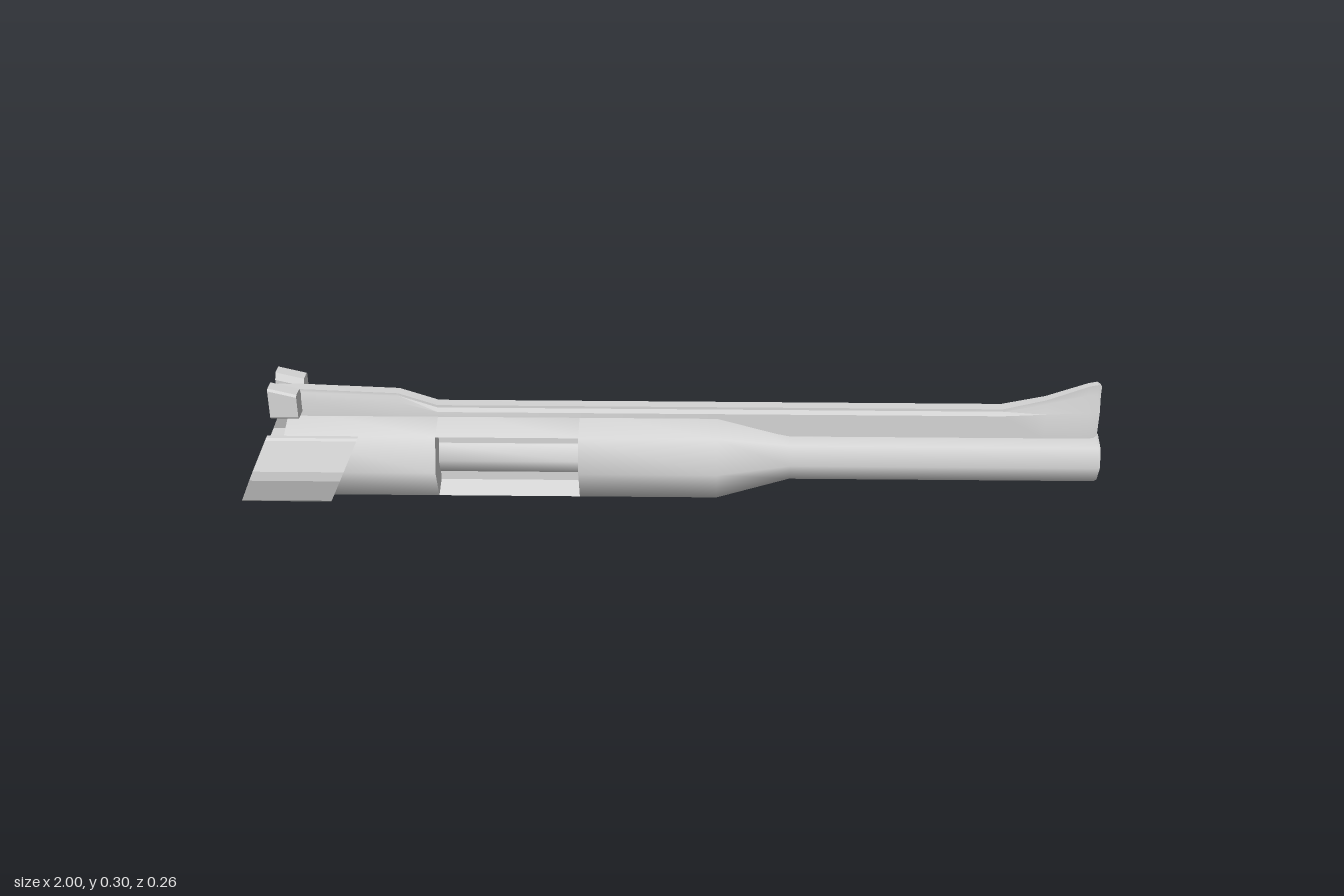
import * as THREE from 'three';
import { toCreasedNormals } from 'three/addons/utils/BufferGeometryUtils.js';

const AXIS = 0.112; // height of the bore line
const BODY = 0.109; // receiver radius

// Skin a list of rings running along x; points [x, y, z] turn from +y towards +z.
function loft(rings, crease = 0.9, capped = true) {
  const n = rings[0].length;
  const index = [];
  for (let i = 0; i < rings.length - 1; i++) {
    for (let j = 0; j < n; j++) {
      const k = (j + 1) % n;
      const a = i * n + j, b = i * n + k, c = b + n, d = a + n;
      index.push(a, b, c, a, c, d);
    }
  }
  if (capped) {
    const last = (rings.length - 1) * n;
    const flat = (ring) => ring.map(([, y, z]) => new THREE.Vector2(y, z));
    for (const [a, b, c] of THREE.ShapeUtils.triangulateShape(flat(rings[0]), [])) index.push(a, c, b);
    for (const [a, b, c] of THREE.ShapeUtils.triangulateShape(flat(rings.at(-1)), [])) index.push(last + a, last + b, last + c);
  }
  const geometry = new THREE.BufferGeometry();
  geometry.setAttribute('position', new THREE.Float32BufferAttribute(rings.flat(2), 3));
  geometry.setIndex(index);
  return toCreasedNormals(geometry, crease);
}

// Octagon with a corner straight up
function octagon(x, r) {
  return Array.from({ length: 8 }, (_, i) => {
    const a = (i * Math.PI) / 4;
    return [x, AXIS + r * Math.cos(a), r * Math.sin(a)];
  });
}

const mirrorZ = (ring) => ring.map(([x, y, z]) => [x, y, -z]).reverse();

export function createModel() {
  const group = new THREE.Group();
  const steel = new THREE.MeshStandardMaterial({ color: 0xd4d4d4 });
  steel.name = 'light grey steel';
  const add = (name, geometry) => {
    const mesh = new THREE.Mesh(geometry, steel);
    mesh.name = name;
    group.add(mesh);
  };

  // Receiver behind the port
  add('rearReceiver', loft([octagon(-0.89, BODY), octagon(-0.54, BODY)]));

  // Receiver with the side opening: the +z corner is replaced by a recess
  const port = (x) => {
    const ring = octagon(x, BODY);
    ring.splice(2, 1, [x, 0.172, 0.03], [x, 0.052, 0.03]);
    return ring;
  };
  add('portReceiver', loft([port(-0.54), port(-0.21)], 0.8, false));

  // Bolt seen through the port
  add('bolt', loft([octagon(-0.54, 0.05), octagon(-0.21, 0.05)]));

  // Front receiver, taper, barrel and hollow muzzle
  const profile = [
    [-0.21, BODY], [0.11, BODY], [0.28, 0.062], [0.992, 0.062],
    [1, 0.058], [1, 0.05], [0.985, 0.044], [0.85, 0.044],
  ];
  add('barrel', loft(profile.map(([x, r]) => octagon(x, r))));

  // Top rail rising into the front sight: x, bottom, shoulder, neck, top, half widths
  const rail = [
    [-0.88, 0.2, 0.255, 0.272, 0.28, 0.02, 0.014],
    [-0.63, 0.2, 0.25, 0.264, 0.27, 0.02, 0.014],
    [-0.54, 0.2, 0.225, 0.234, 0.24, 0.02, 0.014],
    [0.12, 0.2, 0.225, 0.234, 0.24, 0.02, 0.014],
    [0.28, 0.168, 0.225, 0.234, 0.24, 0.02, 0.014],
    [0.77, 0.168, 0.225, 0.234, 0.24, 0.02, 0.014],
    [0.87, 0.168, 0.23, 0.252, 0.263, 0.02, 0.011],
    [0.965, 0.168, 0.235, 0.275, 0.298, 0.02, 0.009],
    [0.985, 0.17, 0.235, 0.275, 0.302, 0.02, 0.009],
    [0.993, 0.176, 0.235, 0.275, 0.297, 0.018, 0.008],
  ];
  add('topRailAndFrontSight', loft(rail.map(([x, yb, ys, yn, yt, w, t]) => [
    [x, yt, t], [x, yn, t], [x, ys, w], [x, yb, w],
    [x, yb, -w], [x, ys, -w], [x, yn, -t], [x, yt, -t],
  ]), 0.5));

  // Rear sight blocks and side plates, one of each per side
  const block = (x, top) => [
    [x, top, 0.026], [x, top, 0.058], [x, top - 0.005, 0.063], [x, 0.23, 0.063],
    [x, 0.225, 0.058], [x, 0.225, 0.02], [x, top - 0.015, 0.017],
  ];
  const section = [
    [0.197, 0.09], [0.197, 0.101], [0.192, 0.106], [0.124, 0.13], [0.1, 0.13], [0.034, 0.106],
    [0.029, 0.101], [0.029, 0.09], [0.034, 0.08], [0.112, 0.107], [0.19, 0.08],
  ];
  const plate = (x) => section.map(([y, z]) => [x + (y - 0.03) * 0.45, y, z]);
  for (const side of ['left', 'right']) {
    const place = side === 'left' ? (r) => r : mirrorZ;
    add(side + 'RearSightBlock', loft([block(-0.92, 0.302), block(-0.855, 0.286)].map(place), 0.5));
    add(side + 'SidePlate', loft([plate(-1), plate(-0.79)].map(place), 0.3));
  }

  // Bridge joining the sight blocks to the rail
  const bridge = new THREE.BoxGeometry(0.054, 0.05, 0.06);
  bridge.translate(-0.886, 0.252, 0);
  add('rearSightBridge', bridge);

  return group;
}
